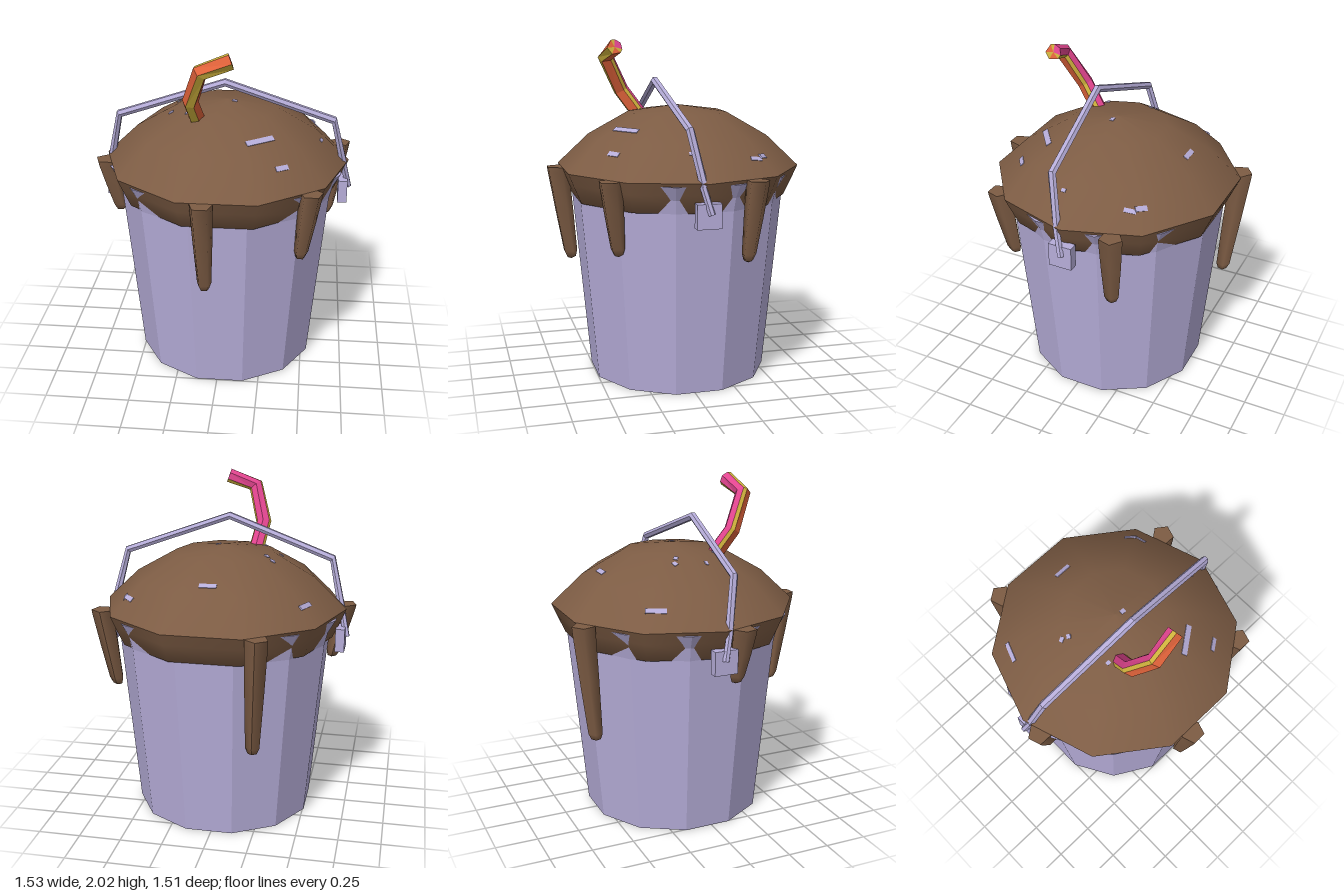
import * as THREE from 'three';

const CX = 0.015, CZ = -0.025; // axis of the bucket
const V = (x, y, z) => new THREE.Vector3(x, y, z);
const material = (name, color) => {
  const m = new THREE.MeshStandardMaterial({ color });
  m.name = name;
  return m;
};

// Lathe from [radius, y] pairs listed bottom to top
function lathe(profile, sides, phiStart, flat) {
  const geo = new THREE.LatheGeometry(profile.map(([r, y]) => new THREE.Vector2(r, y)), sides, phiStart);
  if (!flat) return geo;
  const faceted = geo.toNonIndexed();
  faceted.computeVertexNormals();
  return faceted;
}

// Faceted rod with mitred joints; each face between two angles is one strip
function strips(path, radius, angles, reference) {
  const rings = path.map((p, i) => {
    const before = path[Math.max(i - 1, 0)], after = path[Math.min(i + 1, path.length - 1)];
    const t = after.clone().sub(before).normalize();
    const n = reference.clone().addScaledVector(t, -reference.dot(t)).normalize();
    const b = t.clone().cross(n);
    return angles.map((deg) => {
      const a = THREE.MathUtils.degToRad(deg);
      return p.clone().addScaledVector(n, radius * Math.cos(a)).addScaledVector(b, radius * Math.sin(a));
    });
  });
  const sides = angles.length;
  return angles.map((_, k) => {
    const next = (k + 1) % sides, pts = [];
    for (let i = 0; i < rings.length - 1; i++) {
      const a = rings[i][k], b = rings[i][next], c = rings[i + 1][next], d = rings[i + 1][k];
      pts.push(a, b, c, a, c, d);
    }
    const first = rings[0], last = rings[rings.length - 1];
    pts.push(path[0], first[next], first[k], path[path.length - 1], last[k], last[next]);
    const geo = new THREE.BufferGeometry().setFromPoints(pts);
    geo.computeVertexNormals();
    return geo;
  });
}

export function createModel() {
  const group = new THREE.Group();
  const lavender = material('lavender metal', 0xb6add9);
  const brown = material('brown filling', 0x7d5c44);
  const orange = material('orange stripe', 0xe0623a);
  const yellow = material('yellow stripe', 0xcdb03c);
  const pink = material('pink stripe', 0xe2458f);

  const add = (name, geo, mat, x = 0, y = 0, z = 0, parent = group) => {
    const mesh = new THREE.Mesh(geo, mat);
    mesh.name = name;
    mesh.position.set(x, y, z);
    parent.add(mesh);
    return mesh;
  };

  // Twelve-sided bucket with a flared lip
  add('bucket', lathe([[0, 0], [0.54, 0], [0.64, 1.09], [0.66, 1.17], [0.705, 1.25], [0, 1.25]],
    12, Math.PI / 12, true), lavender, CX, 0, CZ);

  // Ten-sided overflowing mound and its tucked-in underside
  const dome = add('mound', lathe([[0.73, 1.27], [0.54, 1.45], [0.295, 1.59], [0, 1.632]],
    10, Math.PI / 2), brown, CX, 0, CZ);
  add('moundUnderside', lathe([[0.6, 1.09], [0.65, 1.09], [0.7, 1.2], [0.73, 1.27]],
    10, Math.PI / 2), brown, CX, 0, CZ);

  // Drips hang from the mound edge and lean in toward the bucket: [x, z, bottom y]
  const drips = [[-0.065, 0.695, 0.7], [0.53, 0.485, 0.83], [0.695, -0.31, 0.79],
    [-0.29, -0.695, 0.56], [-0.7, 0.095, 0.93]];
  for (const [x, z, bottom] of drips) {
    const length = 1.27 - bottom;
    const geo = lathe([[0, -length], [0.028, 0.012 - length], [0.043, 0.05 - length],
      [0.058, -length * 0.45], [0.068, -0.03], [0.068, 0], [0.068, 0], [0, 0]], 5, Math.PI);
    const inward = V(CX - x, 0, CZ - z).setLength(0.075);
    const pos = geo.attributes.position;
    for (let i = 0; i < pos.count; i++) {
      const t = -pos.getY(i) / length;
      pos.setX(i, pos.getX(i) + inward.x * t);
      pos.setZ(i, pos.getZ(i) + inward.z * t);
    }
    geo.computeVertexNormals();
    add('drip', geo, brown, x, 1.27, z);
  }

  // Angular carrying handle
  const handle = new THREE.Group();
  handle.name = 'handle';
  group.add(handle);
  const handlePath = [V(-0.685, 1.25, 0.005), V(-0.615, 1.55, 0.065), V(CX, 1.775, 0.11),
    V(0.645, 1.55, 0.065), V(0.715, 1.25, 0.005)];
  const hex = [0, 60, 120, 180, 240, 300];
  strips(handlePath, 0.024, hex, V(0, 0, 1)).forEach((geo) => add('handleFace', geo, lavender, 0, 0, 0, handle));

  // Hooks and square ears on both sides
  for (const side of [-1, 1]) {
    const ear = new THREE.Group();
    ear.name = side > 0 ? 'leftEar' : 'rightEar';
    group.add(ear);
    add('earPlate', new THREE.BoxGeometry(0.055, 0.14, 0.14), lavender, CX + side * 0.7, 1.09, -0.02, ear);
    const hook = [V(CX + side * 0.7, 1.25, 0.01), V(CX + side * 0.735, 1.1, -0.03)];
    strips(hook, 0.02, hex, V(0, 0, 1)).forEach((geo) => add('hook', geo, lavender, 0, 0, 0, ear));
  }

  // Bent straw with lengthwise stripes
  const straw = new THREE.Group();
  straw.name = 'straw';
  group.add(straw);
  const strawPath = [V(-0.14, 1.57, 0.18), V(-0.165, 1.71, 0.28), V(-0.095, 1.915, 0.385), V(0.07, 1.975, 0.36)];
  const strawAngles = [-50, 0, 50, 80, 150, 210, 280];
  const strawColours = [pink, pink, yellow, orange, yellow, orange, yellow];
  strips(strawPath, 0.047, strawAngles, V(0, 0.75, -1).normalize())
    .forEach((geo, k) => add('strawStripe', geo, strawColours[k], 0, 0, 0, straw));

  // Flat sprinkles laid on the mound: [x, z, length, width, turn]
  const sprinkles = [[0.23, 0.33, 0.18, 0.035, 0.63], [0.36, 0.43, 0.08, 0.03, 0.6],
    [0.025, -0.475, 0.1, 0.03, 0], [-0.505, -0.35, 0.12, 0.03, 1.2],
    [0.505, -0.4, 0.07, 0.03, -0.8], [0.54, -0.35, 0.07, 0.025, -1.4],
    [-0.285, -0.14, 0.03, 0.025, 0.3], [-0.25, -0.12, 0.025, 0.025, 0.9],
    [0.06, -0.01, 0.03, 0.025, 0], [-0.31, 0.045, 0.03, 0.02, 0],
    [-0.2, 0.145, 0.025, 0.02, 0], [0.575, 0.035, 0.03, 0.02, 1.4]];
  dome.updateMatrixWorld(true);
  const ray = new THREE.Raycaster();
  for (const [x, z, length, width, turn] of sprinkles) {
    ray.set(V(x, 3, z), V(0, -1, 0));
    const hit = ray.intersectObject(dome)[0];
    if (!hit) continue;
    const mesh = add('sprinkle', new THREE.BoxGeometry(length, 0.008, width), lavender, ...hit.point);
    mesh.quaternion.setFromUnitVectors(V(0, 1, 0), hit.face.normal)
      .multiply(new THREE.Quaternion().setFromAxisAngle(V(0, 1, 0), turn));
  }

  return group;
}
